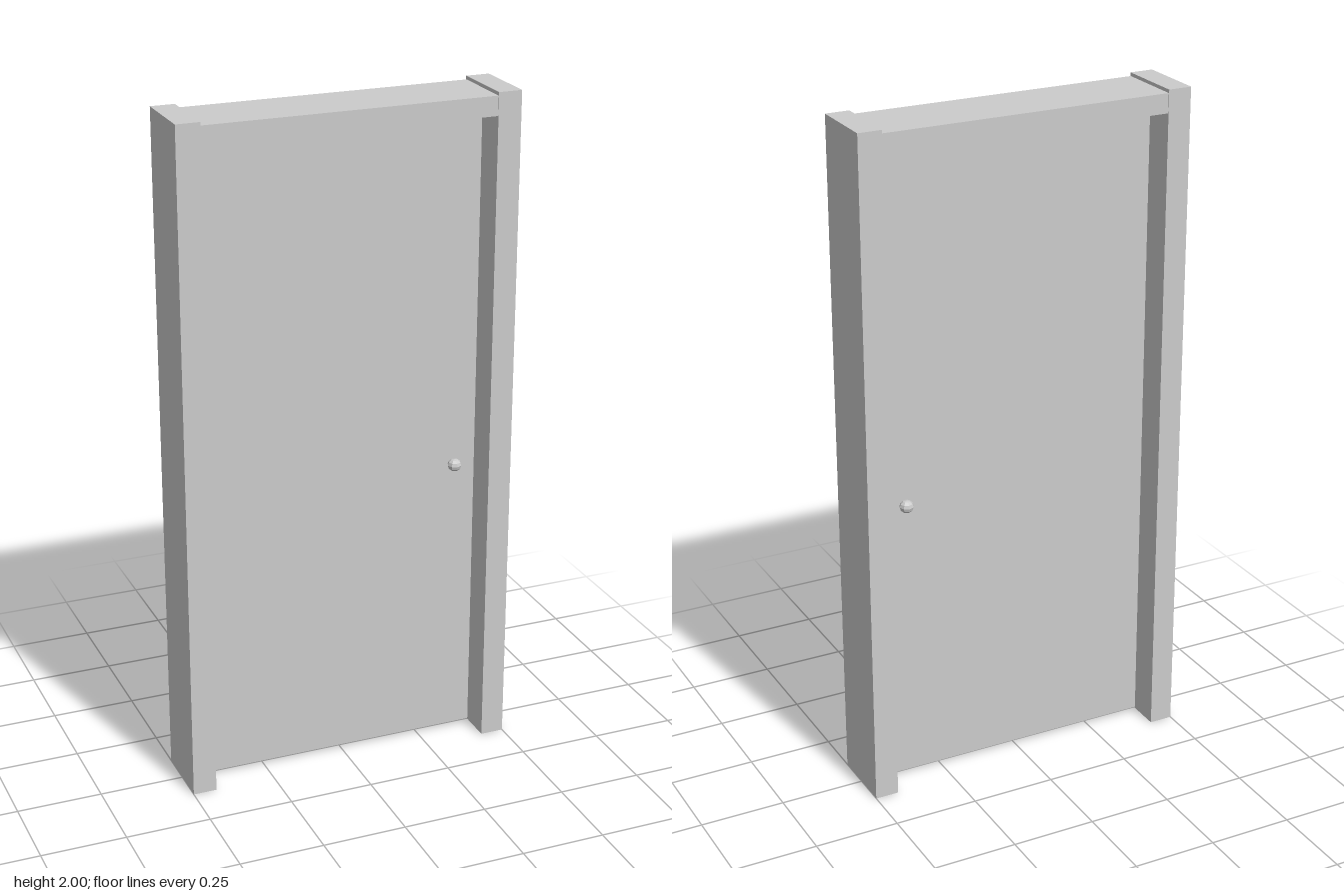
import * as THREE from 'three';

export function createModel() {
  const group = new THREE.Group();
  const material = new THREE.MeshStandardMaterial({ color: 0xcccccc, flatShading: true });

  const add = (name, geometry, x, y, z) => {
    const mesh = new THREE.Mesh(geometry, material);
    mesh.name = name;
    mesh.position.set(x, y, z);
    group.add(mesh);
    return mesh;
  };

  // Door frame: two full-height posts and a slightly lower lintel between them
  const depth = 0.21;
  for (const [side, s] of [['left', 1], ['right', -1]]) {
    add(side + 'Post', new THREE.BoxGeometry(0.07, 2, depth), s * 0.465, 1, 0);
  }
  add('lintel', new THREE.BoxGeometry(0.866, 0.057, depth - 0.004), 0, 1.9615, 0);

  // Thin door leaf, with a small gap to the posts and the floor
  const leafThickness = 0.04;
  add('doorLeaf', new THREE.BoxGeometry(0.844, 1.917, leafThickness), 0, 1.9715 - 1 + 0.0, 0);

  // Low-poly knob with a short stem on each face
  for (const [side, s] of [['front', 1], ['back', -1]]) {
    const stem = add(side + 'KnobStem', new THREE.CylinderGeometry(0.009, 0.009, 0.02, 8),
      0.352, 0.882, s * (leafThickness / 2 + 0.005));
    stem.rotation.x = Math.PI / 2;
    const knob = add(side + 'Knob', new THREE.SphereGeometry(0.021, 8, 6),
      0.352, 0.882, s * (leafThickness / 2 + 0.016));
    knob.scale.y = 0.9;
  }

  return group;
}
